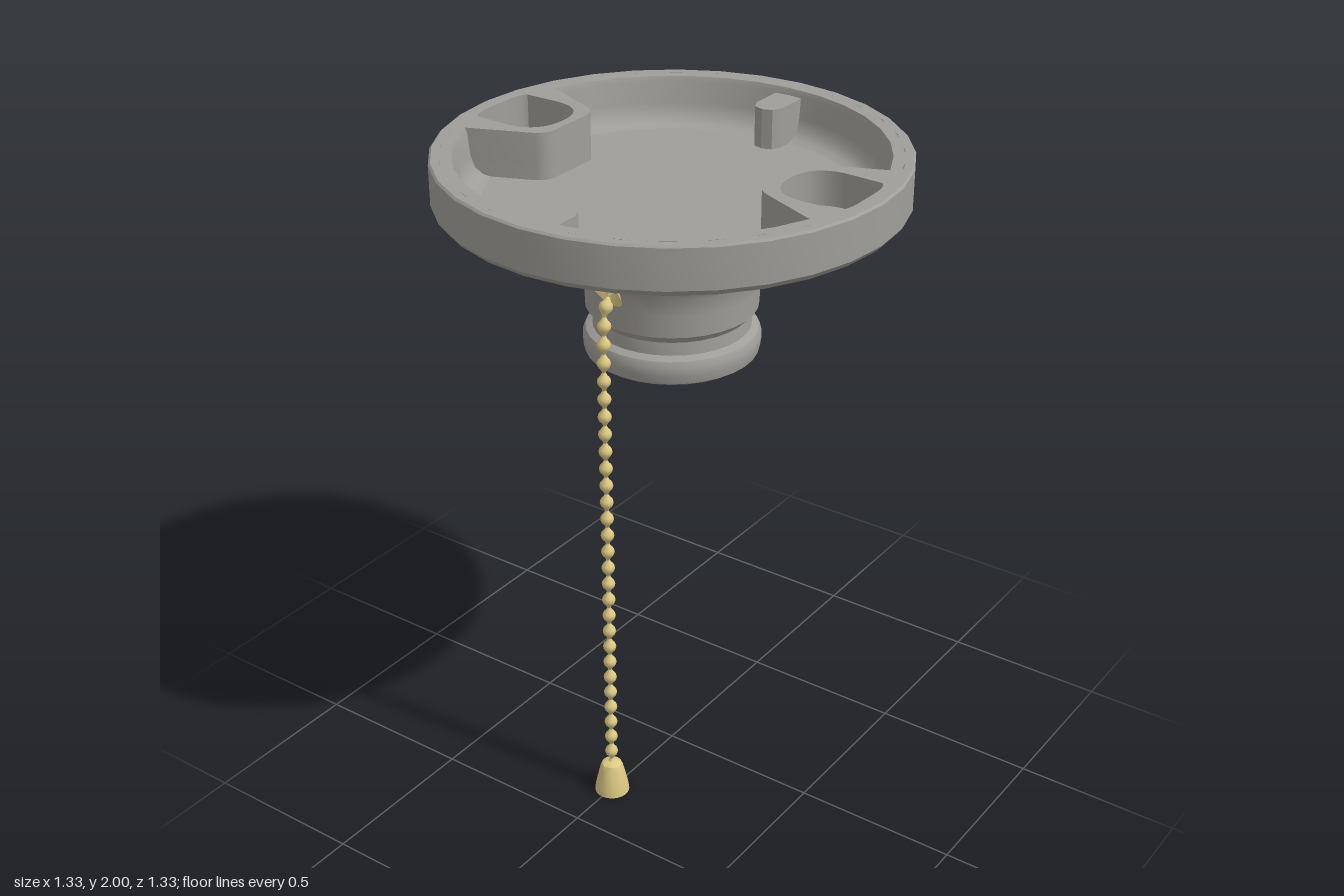
import * as THREE from 'three';
import { mergeGeometries, toCreasedNormals } from 'three/addons/utils/BufferGeometryUtils.js';

const porcelain = new THREE.MeshStandardMaterial({ color: 0xa09e99, side: THREE.DoubleSide });
porcelain.name = 'grey porcelain';
const brass = new THREE.MeshStandardMaterial({ color: 0xddc984, side: THREE.DoubleSide });
brass.name = 'brass';

const STEP = Math.PI / 16;
const BOSS_ANGLE = 0.343;
const FLARE_IN = 0.38, FLARE_OUT = 0.62, SLOPE = 0.3727;
const FLOOR_Y = 1.86;
const flareY = r => 1.85 - SLOPE * (FLARE_OUT - r);
const v2 = pts => pts.map(p => new THREE.Vector2(p[0], p[1]));
const arc = (r, angles) => angles.map(a => new THREE.Vector2(r * Math.sin(a), r * Math.cos(a)));

function lathe(pts, segments = 32, start = 0, length = Math.PI * 2) {
  return toCreasedNormals(new THREE.LatheGeometry(v2(pts), segments, start, length), 0.6);
}

// Upright stadium outline, long in z
function stadium(halfWidth, z0, z1) {
  const p = new THREE.Path();
  p.absarc(0, z1 - halfWidth, halfWidth, 0, Math.PI, false);
  p.absarc(0, z0 + halfWidth, halfWidth, Math.PI, Math.PI * 2, false);
  p.closePath();
  return p;
}
const screwOpening = () => stadium(0.068, 0.415, 0.6);

// Extrudes an (x, z) outline downwards from a top height
function slab(shape, top, bottom) {
  const g = new THREE.ExtrudeGeometry(shape, { depth: top - bottom, bevelEnabled: false, curveSegments: 8 });
  g.rotateX(Math.PI / 2);
  g.translate(0, top, 0);
  return toCreasedNormals(g, 0.6);
}

// Sector of the flare with an oval screw opening
function flarePatch() {
  const shape = new THREE.Shape([...arc(FLARE_IN, [-STEP, 0, STEP]), ...arc(FLARE_OUT, [STEP, 0, -STEP])]);
  shape.holes.push(screwOpening());
  const g = new THREE.ShapeGeometry(shape, 8);
  const pos = g.attributes.position, nor = g.attributes.normal;
  const n = new THREE.Vector3();
  for (let i = 0; i < pos.count; i++) {
    const x = pos.getX(i), z = pos.getY(i), r = Math.hypot(x, z);
    pos.setXYZ(i, x, flareY(r), z);
    n.set(SLOPE * x / r, -1, SLOPE * z / r).normalize();
    nor.setXYZ(i, n.x, n.y, n.z);
  }
  return g;
}

// Wall of the screw opening, from the flare up to the seat
function openingWall() {
  const pos = [], index = [];
  screwOpening().getPoints(8).forEach((p, i) => {
    pos.push(p.x, flareY(p.length()), p.y, p.x, 1.853, p.y);
    if (i) index.push(2 * i - 2, 2 * i - 1, 2 * i, 2 * i, 2 * i - 1, 2 * i + 1);
  });
  const g = new THREE.BufferGeometry();
  g.setAttribute('position', new THREE.Float32BufferAttribute(pos, 3));
  g.setIndex(index);
  g.computeVertexNormals();
  return g;
}

// Tapered screw boss reaching out into the rim
function bossOutline(outerRadius) {
  const s = new THREE.Shape();
  s.moveTo(-0.2, 0.56);
  s.lineTo(-0.128, 0.39);
  s.quadraticCurveTo(-0.11, 0.35, -0.07, 0.35);
  s.lineTo(0.07, 0.35);
  s.quadraticCurveTo(0.11, 0.35, 0.128, 0.39);
  s.lineTo(0.2, 0.56);
  for (const p of arc(outerRadius, [BOSS_ANGLE, STEP, 0, -STEP, -BOSS_ANGLE])) s.lineTo(p.x, p.y);
  s.closePath();
  return s;
}

function recessOutline() {
  const p = new THREE.Path();
  p.moveTo(-0.112, 0.595);
  p.lineTo(-0.115, 0.48);
  p.bezierCurveTo(-0.11, 0.41, -0.07, 0.378, 0, 0.378);
  p.bezierCurveTo(0.07, 0.378, 0.11, 0.41, 0.115, 0.48);
  p.lineTo(0.112, 0.595);
  p.quadraticCurveTo(0.1, 0.612, 0.05, 0.615);
  p.lineTo(-0.05, 0.615);
  p.quadraticCurveTo(-0.1, 0.612, -0.112, 0.595);
  return p;
}

export function createModel() {
  const model = new THREE.Group();
  model.name = 'pullChainLampHolder';
  const add = (name, geometry, material, parent = model) => {
    const m = new THREE.Mesh(geometry, material);
    m.name = name;
    parent.add(m);
    return m;
  };

  // Threaded socket, lip, collar and neck in one profile
  const profile = [[0, 1.66], [0.17, 1.66]];
  for (let i = 0; i < 5; i++) {
    const y = 1.63 - i * 0.04;
    profile.push([0.188, y], [0.174, y - 0.02]);
  }
  profile.push([0.194, 1.42], [0.202, 1.402], [0.215, 1.395], [0.235, 1.395], [0.25, 1.405], [0.256, 1.43],
    [0.256, 1.455], [0.248, 1.472], [0.228, 1.482], [0.225, 1.52], [0.235, 1.535], [0.248, 1.545],
    [0.25, 1.61], [0.254, 1.66], [0.272, 1.697], [0.31, 1.73], [FLARE_IN, flareY(FLARE_IN)]);
  add('socketAndNeck', lathe(profile), porcelain);

  // Rim and floor of the canopy
  add('outerRim', lathe([[FLARE_OUT, 1.85], [0.65, 1.86], [0.665, 1.878], [0.665, 1.994], [0.659, 2],
    [0.635, 2]]), porcelain);
  const floor = new THREE.Shape();
  floor.absarc(0, 0, 0.6, 0, Math.PI * 2, false);
  floor.holes.push(stadium(0.024, 0.41, 0.588), stadium(0.024, -0.588, -0.41));
  const floorGeo = new THREE.ShapeGeometry(floor, 16);
  floorGeo.rotateX(-Math.PI / 2);
  floorGeo.translate(0, FLOOR_Y, 0);
  add('canopyFloor', floorGeo, porcelain);

  // Flare, inner rim, screw bosses and tabs, repeated on opposite sides
  for (const side of [0, 1]) {
    const half = new THREE.Group();
    half.name = side ? 'backHalf' : 'frontHalf';
    half.rotation.y = side * Math.PI;
    model.add(half);
    add('flare', lathe([[FLARE_IN, flareY(FLARE_IN)], [FLARE_OUT, 1.85]], 14, STEP, 14 * STEP), porcelain, half);
    add('flareScrewOpening', flarePatch(), porcelain, half);
    add('screwOpeningWall', openingWall(), porcelain, half);
    add('innerRim', lathe([[0.635, 2], [0.602, 2], [0.596, 1.985], [0.59, 1.92], [0.578, 1.885],
      [0.555, 1.867], [0.53, FLOOR_Y + 0.001]], 14, BOSS_ANGLE, Math.PI - 2 * BOSS_ANGLE), porcelain, half);

    const seat = bossOutline(0.62);
    seat.holes.push(stadium(0.021, 0.415, 0.592));
    add('screwSeat', slab(seat, 1.9, 1.85), porcelain, half);
    const boss = bossOutline(0.64);
    boss.holes.push(recessOutline());
    add('screwBoss', slab(boss, 2, 1.9), porcelain, half);
    add('slotBridge', new THREE.BoxGeometry(0.046, 0.02, 0.105), porcelain, half).position.set(0, 1.872, 0.512);

    const tab = new THREE.Shape(v2([[0.6, -0.044], [0.6, 0.044], [0.49, 0.044], [0.46, 0.03],
      [0.45, 0], [0.46, -0.03], [0.49, -0.044]]));
    add('sideTab', slab(tab, 1.98, 1.855), porcelain, half);
  }

  // Brass horn guiding the chain out of the neck
  const horn = add('chainGuide', lathe([[0.014, 0], [0.02, 0.04], [0.036, 0.075], [0.075, 0.1]], 16), brass);
  horn.position.set(-0.23, 1.747, 0);
  horn.rotation.z = Math.PI - 0.95;
  horn.scale.z = 0.6;

  // Bead chain, each bead tapering into its links
  const path = new THREE.CatmullRomCurve3([[-0.235, 1.72], [-0.28, 1.69], [-0.312, 1.64], [-0.322, 1.56],
    [-0.322, 0.8], [-0.322, 0.09]].map(p => new THREE.Vector3(p[0], p[1], 0)), false, 'centripetal');
  const beadProfile = v2([[0.005, -0.028], [0.011, -0.017], [0.018, -0.009], [0.02, 0], [0.018, 0.009],
    [0.011, 0.017], [0.005, 0.028]]);
  const up = new THREE.Vector3(0, 1, 0);
  const beads = [];
  const count = 30;
  for (let i = 0; i <= count; i++) {
    const p = path.getPointAt(i / count);
    const turn = new THREE.Quaternion().setFromUnitVectors(up, path.getTangentAt(i / count).negate());
    beads.push(new THREE.LatheGeometry(beadProfile, 10).applyQuaternion(turn).translate(p.x, p.y, p.z));
  }
  add('chainBeads', mergeGeometries(beads), brass);
  add('chainLinks', new THREE.TubeGeometry(path, 60, 0.006, 6), brass);

  // Bell-shaped pull at the end of the chain
  const pull = add('chainPull', lathe([[0.045, 0.004], [0.053, 0], [0.05, 0.025], [0.036, 0.085], [0.03, 0.1],
    [0.018, 0.107], [0, 0.108]], 20), brass);
  pull.position.x = -0.322;

  return model;
}
